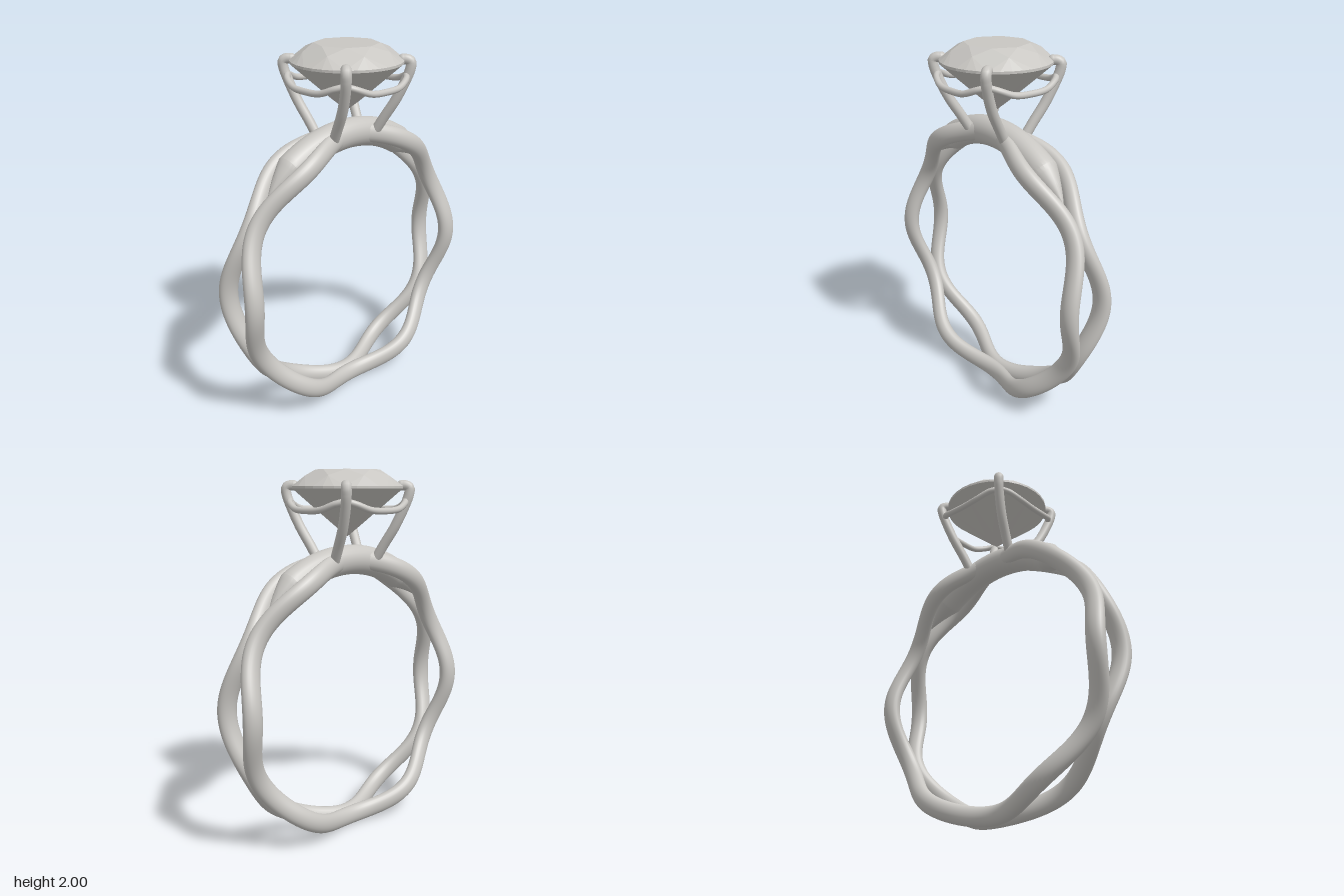
import * as THREE from 'three';
import { toCreasedNormals } from 'three/addons/utils/BufferGeometryUtils.js';
import { ConvexGeometry } from 'three/addons/geometries/ConvexGeometry.js';

const RAD = Math.PI / 180;
const RING_Y = 0.79, RING_R = 0.735;

// Sweeps an elliptical section round the ring; the angle is measured from the top.
// section(angle) gives { z, radial, wide }: sideways offset and the two half widths.
function sweepRing(from, to, steps, closed, section) {
  const sides = 24, pos = [], index = [];
  const rows = closed ? steps : steps + 1;
  for (let i = 0; i < rows; i++) {
    const a = from + (to - from) * i / steps;
    const { z, radial, wide } = section(a);
    for (let j = 0; j < sides; j++) {
      const t = j / sides * Math.PI * 2;
      const r = RING_R + radial * Math.cos(t);
      pos.push(r * Math.sin(a), RING_Y + r * Math.cos(a), z + wide * Math.sin(t));
    }
  }
  for (let i = 0; i < steps; i++) {
    for (let j = 0; j < sides; j++) {
      const n = (i + 1) % rows, k = (j + 1) % sides;
      const a = i * sides + j, b = i * sides + k, c = n * sides + j, d = n * sides + k;
      index.push(a, b, c, b, d, c);
    }
  }
  const g = new THREE.BufferGeometry();
  g.setAttribute('position', new THREE.Float32BufferAttribute(pos, 3));
  g.setIndex(index);
  g.computeVertexNormals();
  return g;
}

// Round brilliant: table, star points, thin girdle, lower facets and culet.
function gemGeometry() {
  const pts = [];
  const circle = (count, r, y, turn = 0) => {
    for (let i = 0; i < count; i++) {
      const a = (i + turn) / count * Math.PI * 2;
      pts.push(new THREE.Vector3(r * Math.cos(a), y, r * Math.sin(a)));
    }
  };
  circle(8, 0.17, 2.0);
  circle(8, 0.235, 1.968, 0.5);
  circle(32, 0.295, 1.915);
  circle(32, 0.295, 1.902);
  circle(8, 0.075, 1.709, 0.5);
  pts.push(new THREE.Vector3(0, 1.65, 0));
  return new ConvexGeometry(pts);
}

export function createModel() {
  const model = new THREE.Group();
  model.name = 'ring';
  const silver = new THREE.MeshStandardMaterial({ color: 0xc8c6c2 });
  silver.name = 'silver';

  const add = (name, geometry, parent = model) => {
    const mesh = new THREE.Mesh(geometry, silver);
    mesh.name = name;
    parent.add(mesh);
    return mesh;
  };
  const curveOf = (pts) => new THREE.CatmullRomCurve3(pts.map((p) => new THREE.Vector3(...p)));

  // Two wavy strands that touch every sixty degrees
  for (const s of [1, -1]) {
    add(s > 0 ? 'frontStrand' : 'backStrand', sweepRing(0, Math.PI * 2, 216, true, (a) => ({
      z: s * (0.0665 - 0.0435 * Math.cos(6 * a)), radial: 0.053, wide: 0.041,
    })));
  }

  // Thick bridge between the strands, pointed at both ends
  const bridge = sweepRing(-48 * RAD, 48 * RAD, 48, false, (a) => {
    const k = Math.min(1, Math.max(0.001, (48 - Math.abs(a) / RAD) / 16));
    return { z: 0, radial: 0.08 * k, wide: 0.077 * k };
  });
  add('bridge', toCreasedNormals(bridge, 0.4));

  // Four claws with rounded tips folded over the stone
  const setting = new THREE.Group();
  setting.name = 'setting';
  model.add(setting);
  for (const sx of [1, -1]) {
    for (const sz of [1, -1]) {
      const path = [
        [0.15, 1.51, 0.055], [0.167, 1.6, 0.108], [0.19, 1.7, 0.168], [0.212, 1.8, 0.212],
        [0.226, 1.87, 0.234], [0.228, 1.905, 0.236], [0.215, 1.917, 0.222], [0.2, 1.918, 0.205],
      ].map(([x, y, z]) => [x * sx, y, z * sz]);
      add('claw', new THREE.TubeGeometry(curveOf(path), 48, 0.027, 14), setting);
      const tip = add('clawTip', new THREE.SphereGeometry(0.027, 14, 10), setting);
      tip.position.set(...path[path.length - 1]);
    }
  }

  // Dipping rail wires that link neighbouring claws
  for (let i = 0; i < 4; i++) {
    const path = [
      [-0.215, 1.84, 0.218], [-0.175, 1.825, 0.252], [-0.1, 1.797, 0.277], [0, 1.79, 0.28],
      [0.1, 1.797, 0.277], [0.175, 1.825, 0.252], [0.215, 1.84, 0.218],
    ];
    const rail = add('rail', new THREE.TubeGeometry(curveOf(path), 48, 0.017, 12), setting);
    rail.rotation.y = i * Math.PI / 2;
  }

  add('gem', gemGeometry());
  return model;
}
